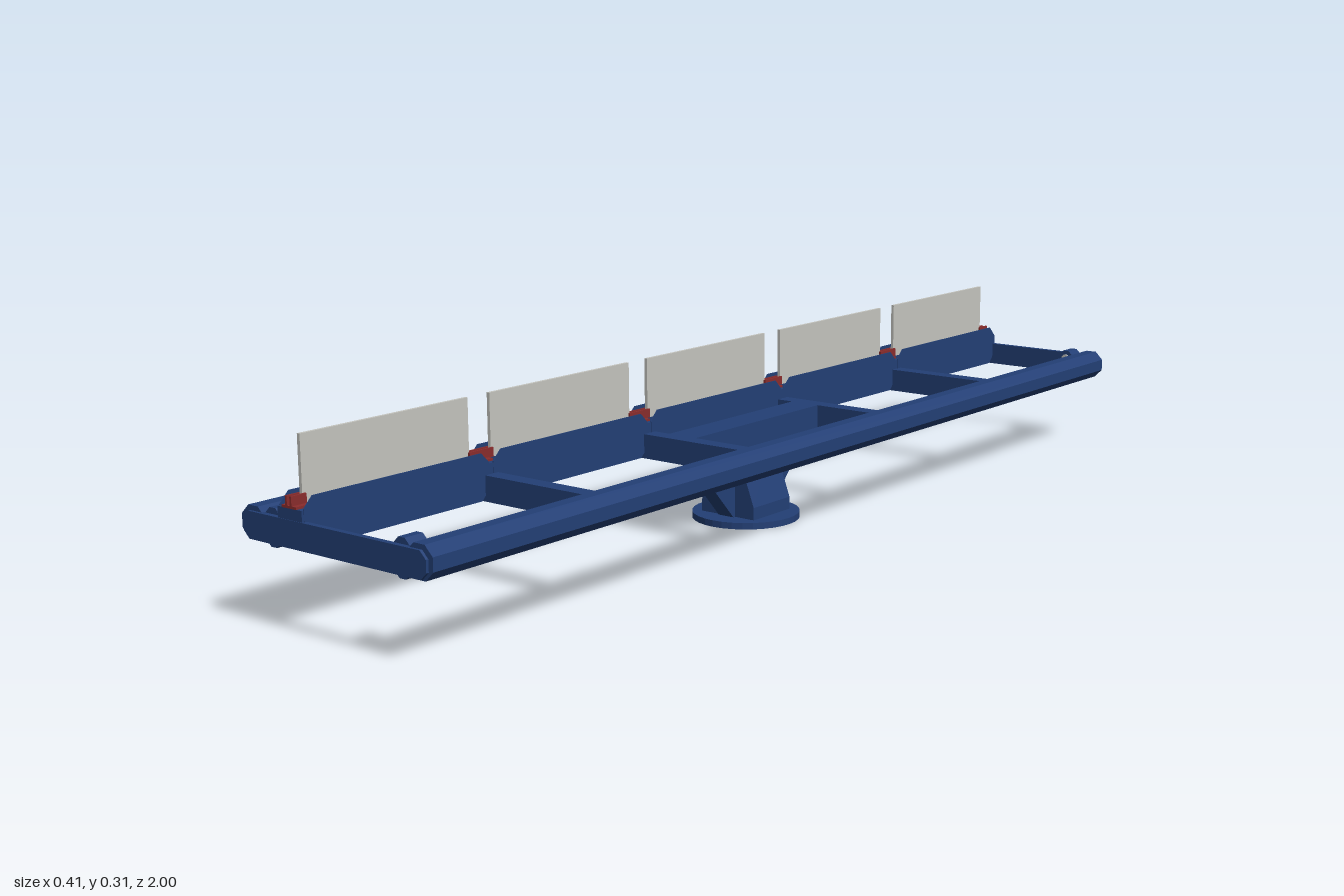
import * as THREE from 'three';

export function createModel() {
  const model = new THREE.Group();
  const paint = (name, color) => {
    const m = new THREE.MeshStandardMaterial({ color, flatShading: true });
    m.name = name;
    return m;
  };
  const blue = paint('blue steel', 0x233f75);
  const grey = paint('grey plate', 0xc4c4be);
  const red = paint('red clip', 0x8a2c2c);

  const add = (name, geo, mat, x, y, z) => {
    const mesh = new THREE.Mesh(geo, mat);
    mesh.name = name;
    mesh.position.set(x, y, z);
    model.add(mesh);
    return mesh;
  };
  const box = (name, mat, w, h, d, x, y, z) => add(name, new THREE.BoxGeometry(w, h, d), mat, x, y, z);

  // Octagonal bar along z with flats at the top and sides
  const octagon = (apothem, length) =>
    new THREE.CylinderGeometry(apothem / Math.cos(Math.PI / 8), apothem / Math.cos(Math.PI / 8), length, 8)
      .rotateY(Math.PI / 8).rotateX(Math.PI / 2);

  // Outline extruded to a thickness, centred on its own plane
  const slab = (points, depth) => new THREE.ExtrudeGeometry(
    new THREE.Shape(points.map(([x, y]) => new THREE.Vector2(x, y))),
    { depth, bevelEnabled: false }).translate(0, 0, -depth / 2);

  // Rectangle with cut corners
  const chamfered = (w, h, c) => [
    [-w + c, -h], [w - c, -h], [w, -h + c], [w, h - c],
    [w - c, h], [-w + c, h], [-w, h - c], [-w, -h + c]];

  // Base disc and tapered pedestal
  add('baseDisc', new THREE.CylinderGeometry(0.1, 0.1, 0.012, 32), blue, 0, 0.006, 0);
  add('pedestal', slab([[-0.06, 0.012], [0.06, 0.012], [0.06, 0.035], [0.02, 0.142],
    [-0.02, 0.142], [-0.06, 0.035]], 0.11), blue, 0, 0, 0);
  add('pedestalGusset', slab([[-0.06, 0.012], [0.06, 0.012], [0.18, 0.142], [-0.18, 0.142]], 0.034)
    .rotateY(-Math.PI / 2), blue, 0, 0, 0);

  // Frame: centre beam, cross beams, side rails
  box('centreBeam', blue, 0.06, 0.044, 0.4, 0, 0.162, 0);
  for (const z of [-0.6, -0.2, 0.2, 0.6]) box('crossBeam', blue, 0.32, 0.044, 0.03, 0, 0.162, z);
  for (const side of [-1, 1]) add('sideRail', octagon(0.027, 1.99), blue, side * 0.18, 0.165, 0);

  // End plates with pairs of bolt lugs behind them
  for (const end of [-1, 1]) {
    add('endPlate', slab(chamfered(0.198, 0.022, 0.012), 0.01), blue, 0, 0.162, end * 0.995);
    for (const side of [-1, 1]) {
      for (const y of [0.178, 0.148]) {
        add('boltLug', octagon(0.016, 0.036), blue, side * 0.14, y, end * 0.973);
        add('boltTip', octagon(0.008, 0.004), grey, side * 0.14, y, end * 0.954);
      }
    }
  }

  // Channel walls and upright plates, one set per bay
  const railX = -0.091;
  const wall = slab(chamfered(0.195, 0.04, 0.018), 0.002).rotateY(-Math.PI / 2);
  for (let i = -2; i <= 2; i++) {
    const z = i * 0.4;
    for (const side of [-1, 1]) add('channelWall', wall, blue, railX + side * 0.0265, 0.182, z);
    box('uprightPlate', grey, 0.006, 0.108, 0.35, railX - 0.001, 0.258, z);
  }

  // Supports and clips between the bays
  for (const z of [-0.985, -0.6, -0.2, 0.2, 0.6, 0.985]) {
    box('clipSupport', blue, 0.054, 0.02, 0.028, railX, 0.192, z);
    box('clipBase', red, 0.032, 0.004, 0.03, railX, 0.204, z);
    for (const side of [-1, 1]) {
      box('clipJaw', red, 0.004, 0.016, 0.055 - (Math.abs(z) > 0.9 ? 0.025 : 0),
        railX - 0.001 + side * 0.005, 0.213, z);
    }
  }
  return model;
}
